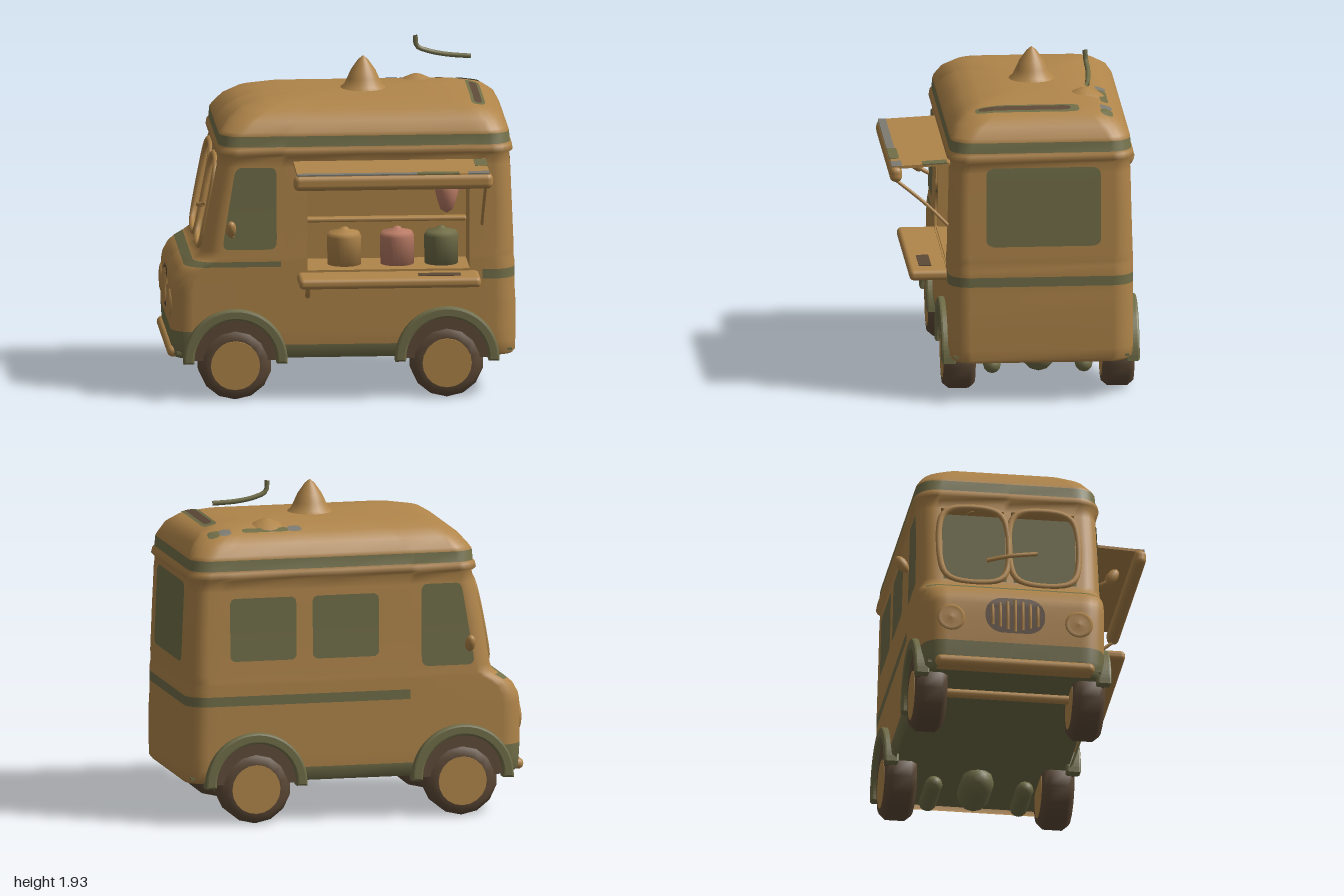
import * as THREE from 'three';
import { RoundedBoxGeometry } from 'three/addons/geometries/RoundedBoxGeometry.js';

const V = (x, y, z) => new THREE.Vector3(x, y, z);
const material = (name, color) => {
  const m = new THREE.MeshStandardMaterial({ color, side: THREE.DoubleSide });
  m.name = name;
  return m;
};
const MID = -0.105; // z of the truck's centre line

// Horizontal sections of the shell: y, x0, x1, z0, z1, corner radius
const SECTIONS = [
  [0.24, -0.95, 0.97, -0.60, 0.39, 0.11], [0.26, -0.965, 0.985, -0.625, 0.41, 0.12],
  [0.32, -0.965, 0.985, -0.63, 0.42, 0.12], [0.40, -0.97, 0.985, -0.63, 0.42, 0.12],
  [0.55, -0.97, 0.985, -0.63, 0.42, 0.12], [0.64, -0.968, 0.98, -0.63, 0.42, 0.12],
  [0.685, -0.96, 0.98, -0.63, 0.42, 0.12], [0.74, -0.93, 0.98, -0.63, 0.42, 0.12],
  [0.77, -0.895, 0.98, -0.63, 0.42, 0.12], [0.80, -0.845, 0.975, -0.63, 0.42, 0.12],
  [0.825, -0.81, 0.975, -0.63, 0.42, 0.12],
  [0.86, -0.795, 0.975, -0.627, 0.417, 0.11], [1.10, -0.755, 0.965, -0.62, 0.41, 0.1],
  [1.34, -0.705, 0.955, -0.615, 0.405, 0.1], [1.395, -0.69, 0.95, -0.61, 0.40, 0.1],
  [1.415, -0.715, 0.97, -0.635, 0.425, 0.12], [1.445, -0.71, 0.965, -0.63, 0.42, 0.12],
  [1.458, -0.70, 0.955, -0.62, 0.41, 0.12], [1.518, -0.695, 0.95, -0.615, 0.405, 0.12],
  [1.54, -0.68, 0.94, -0.61, 0.40, 0.13], [1.60, -0.63, 0.91, -0.575, 0.365, 0.14],
  [1.65, -0.55, 0.85, -0.51, 0.30, 0.14], [1.68, -0.42, 0.74, -0.42, 0.21, 0.12],
  [1.695, -0.15, 0.5, -0.25, 0.04, 0.08],
];

function ring([y, x0, x1, z0, z1, r]) {
  let xs = [-0.35, -0.31, -0.2, 0.1, 0.35, 0.72, 0.79];
  let zs = [-0.49, -0.13, -0.09, 0.27];
  if (y > 1.4) { // roof sections shrink their columns along with them
    xs = xs.map(x => THREE.MathUtils.mapLinear(x, -0.59, 0.85, x0 + r, x1 - r));
    zs = zs.map(z => THREE.MathUtils.mapLinear(z, -0.51, 0.30, z0 + r, z1 - r));
  }
  const sides = [xs.map(x => [x, z1]), [], [...xs].reverse().map(x => [x, z0]), zs.map(z => [x0, z])];
  const centres = [[x1 - r, z1 - r], [x1 - r, z0 + r], [x0 + r, z0 + r], [x0 + r, z1 - r]];
  const out = [];
  for (let c = 0; c < 4; c++) {
    out.push(...sides[c]);
    for (let k = 0; k <= 6; k++) {
      const a = Math.PI / 2 * (1 - c - k / 6);
      out.push([centres[c][0] + r * Math.cos(a), centres[c][1] + r * Math.sin(a)]);
    }
  }
  return out.map(([x, z]) => V(x, y, z));
}

// Which colour a cell of the shell takes: 0 body, 1 trim, -1 opening
function cellKind({ x, y, z }) {
  const within = (v, a, b) => v > a && v < b;
  if (z > 0.38 && within(x, -0.2, 0.72) && within(y, 0.74, 1.34)) return -1;
  if (x < -0.6 && within(y, 0.86, 1.34) && (within(z, -0.49, -0.13) || within(z, -0.09, 0.27))) return -1;
  if (within(y, 1.458, 1.518)) return 1;
  if (within(y, 0.685, 0.74) && (x > 0.79 || (z < -0.3 && x > -0.31))) return 1;
  if (within(y, 0.77, 0.80) && x < -0.35 && z > -0.6) return 1;
  if ((y < 0.32 && x < 0.35) || (y < 0.40 && x < -0.8)) return 1;
  return 0;
}

function shellGeometry() {
  const rings = SECTIONS.map(ring), n = rings[0].length, lists = [[], []];
  const points = rings.flat();
  for (let j = 0; j < rings.length - 1; j++) for (let i = 0; i < n; i++) {
    const k = (i + 1) % n, q = [j * n + i, j * n + k, (j + 1) * n + k, (j + 1) * n + i];
    const mid = q.reduce((s, p) => s.add(points[p]), V(0, 0, 0)).multiplyScalar(0.25);
    const kind = cellKind(mid);
    if (kind >= 0) lists[kind].push(q[0], q[1], q[2], q[0], q[2], q[3]);
  }
  const top = points.length, last = (rings.length - 1) * n;
  points.push(V(0.17, 1.697, MID));
  for (let i = 0; i < n; i++) lists[0].push(last + i, last + (i + 1) % n, top);
  const g = new THREE.BufferGeometry().setFromPoints(points);
  g.setIndex([...lists[0], ...lists[1]]);
  g.addGroup(0, lists[0].length, 0);
  g.addGroup(lists[0].length, lists[1].length, 1);
  g.computeVertexNormals();
  return g;
}

export function createModel() {
  const group = new THREE.Group();
  const tan = material('tan paint', 0xb0854a), olive = material('olive trim', 0x716e48);
  const brown = material('dark brown rubber', 0x5e4a37), pink = material('pink', 0xb87a64);
  const grey = material('grey', 0x7d7a70);

  const add = (name, geo, mat, x = 0, y = 0, z = 0) => {
    const m = new THREE.Mesh(geo, mat);
    m.name = name;
    m.position.set(x, y, z);
    group.add(m);
    return m;
  };
  // Box given by its extents
  const box = (name, mat, x0, x1, y0, y1, z0, z1, r = 0) => {
    const s = [x1 - x0, y1 - y0, z1 - z0];
    const g = r ? new RoundedBoxGeometry(...s, 3, r) : new THREE.BoxGeometry(...s);
    return add(name, g, mat, (x0 + x1) / 2, (y0 + y1) / 2, (z0 + z1) / 2);
  };
  const tube = (name, mat, pts, r, closed = false) => add(name, new THREE.TubeGeometry(
    new THREE.CatmullRomCurve3(pts.map(p => V(...p)), closed), closed ? 48 : 16, r, 8, closed), mat);
  const lathe = (name, mat, pts, x, y, z, sides = 24) => add(name,
    new THREE.LatheGeometry(pts.map(p => new THREE.Vector2(...p)), sides), mat, x, y, z);

  const body = add('body', shellGeometry(), [tan, olive]);

  // Rounded patch laid onto the shell, seen along direction n
  const ray = new THREE.Raycaster();
  const patch = (name, mat, n, c, w, h, r, lift = 0.006, warp = null) => {
    const up = n.y ? V(0, 0, -1) : V(0, 1, 0), side = up.clone().cross(n);
    const g = new THREE.PlaneGeometry(w, h, 16, 16), p = g.attributes.position;
    for (let i = 0; i < p.count; i++) {
      let u = p.getX(i), v = p.getY(i);
      const cu = Math.sign(u) * (w / 2 - r), cv = Math.sign(v) * (h / 2 - r);
      const du = u - cu, dv = v - cv, d = Math.hypot(du, dv);
      if (Math.abs(u) > w / 2 - r && Math.abs(v) > h / 2 - r && d > r) { u = cu + du * r / d; v = cv + dv * r / d; }
      const q = V(...c).addScaledVector(side, u).addScaledVector(up, v);
      if (warp) warp(q);
      ray.set(q.clone().addScaledVector(n, 3), n.clone().negate());
      const hit = ray.intersectObject(body)[0];
      if (hit) q.copy(hit.point);
      q.addScaledVector(n, lift);
      p.setXYZ(i, q.x, q.y, q.z);
    }
    g.computeVertexNormals();
    return add(name, g, mat);
  };
  const FRONT = V(0, 0, 1), BACK = V(0, 0, -1), NOSE = V(-1, 0, 0), TAIL = V(1, 0, 0), UP = V(0, 1, 0);

  // Windows; the door windows lean with the windscreen
  const lean = q => { q.x += (q.y - 0.87) * 0.16 * (-0.38 - q.x) / 0.3; };
  patch('doorWindow', olive, FRONT, [-0.53, 1.105, 0.4], 0.31, 0.47, 0.04, 0.006, lean);
  patch('doorWindow', olive, BACK, [-0.53, 1.105, -0.6], 0.31, 0.47, 0.04, 0.006, lean);
  for (const x of [0.545, 0.065]) patch('sideWindow', olive, BACK, [x, 1.12, -0.6], 0.385, 0.36, 0.03);
  patch('rearWindow', olive, TAIL, [0.95, 1.145, -0.115], 0.65, 0.455, 0.04);

  // Roof: pointed cap, vents, low hump and loose curved strip
  lathe('roofCap', tan, [[0.15, 1.68], [0.11, 1.71], [0.09, 1.75], [0.07, 1.795], [0.028, 1.855], [0, 1.878]], 0.15, 0, MID);
  patch('roofVent', olive, UP, [0.78, 1.67, -0.035], 0.08, 0.59, 0.03);
  patch('roofVentSlot', brown, UP, [0.78, 1.67, -0.02], 0.045, 0.52, 0.02, 0.009);
  patch('roofVent', grey, UP, [0.33, 1.66, -0.48], 0.08, 0.06, 0.025);
  patch('roofVent', olive, UP, [0.5, 1.66, -0.485], 0.27, 0.045, 0.02);
  patch('roofVent', grey, UP, [0.735, 1.66, -0.485], 0.07, 0.07, 0.025);
  patch('roofVent', olive, UP, [0.8, 1.66, -0.485], 0.07, 0.07, 0.025);
  lathe('roofHump', tan, [[0.13, -0.03], [0.09, 0.0], [0.03, 0.028], [0, 0.032]], 0.47, 1.68, -0.38, 16);
  tube('curvedStrip', olive, [[0.465, 1.93, -0.385], [0.475, 1.87, -0.39], [0.54, 1.84, -0.395],
    [0.64, 1.82, -0.39], [0.78, 1.81, -0.375]], 0.014);

  // Cab interior, pane frames and the bar across the middle post
  box('cabBack', olive, -0.52, -0.5, 0.7, 1.39, -0.59, 0.38);
  for (const z of [-0.575, 0.355]) box('cabLining', olive, -0.66, -0.5, 0.8, 1.34, z, z + 0.01);
  box('dashboard', olive, -0.76, -0.5, 0.80, 0.85, -0.53, 0.32);
  const paneX = y => -0.797 + (y - 0.86) * 0.19;
  for (const [z0, z1] of [[-0.49, -0.13], [-0.09, 0.27]]) {
    const frame = [];
    for (const [z, y] of [[z0, 0.92], [z0, 1.28], [z0 + 0.06, 1.34], [z1 - 0.06, 1.34],
      [z1, 1.28], [z1, 0.92], [z1 - 0.06, 0.86], [z0 + 0.06, 0.86]]) frame.push([paneX(y), y, z]);
    tube('paneFrame', tan, frame, 0.018, true);
  }
  tube('crossBar', tan, [[-0.77, 1.0, -0.24], [-0.785, 1.03, MID], [-0.77, 1.06, 0.05]], 0.013);

  // Serving hatch: recess, ledge, jars and hanging balloon
  box('hatchBack', tan, -0.22, 0.74, 0.72, 1.38, 0.06, 0.08);
  box('hatchFloor', tan, -0.22, 0.74, 0.72, 0.745, 0.06, 0.41);
  box('hatchCeiling', tan, -0.22, 0.74, 1.34, 1.36, 0.06, 0.4);
  for (const x of [-0.22, 0.72]) box('hatchWall', tan, x, x + 0.02, 0.72, 1.38, 0.06, 0.4);
  box('hatchLedge', tan, -0.2, 0.72, 0.965, 0.99, 0.08, 0.14, 0.01);
  [[0.02, tan], [0.32, pink], [0.57, olive]].forEach(([x, mat]) =>
    lathe('jar', mat, [[0, 0], [0.095, 0], [0.097, 0.16], [0.085, 0.185], [0.03, 0.195], [0.02, 0.21], [0, 0.215]], x, 0.745, 0.23));
  lathe('balloon', pink, [[0, 0], [0.035, 0.02], [0.055, 0.08], [0.068, 0.14], [0.05, 0.19], [0, 0.21]], 0.6, 1.035, 0.25);
  box('pinkNote', pink, 0.64, 0.71, 1.13, 1.25, 0.081, 0.088);

  // Counter shelf and its bracket
  box('shelf', tan, -0.26, 0.77, 0.675, 0.735, 0.38, 0.63, 0.025);
  box('shelfMat', brown, 0.42, 0.66, 0.733, 0.74, 0.5, 0.57);
  tube('shelfBracket', tan, [[-0.2, 0.69, 0.52], [-0.2, 0.64, 0.48], [-0.2, 0.6, 0.42]], 0.016);

  // Awning sheet, front roll and strut
  const sheet = box('awning', tan, -0.28, 0.81, 1.35, 1.366, 0.38, 0.73);
  sheet.rotation.x = 0.05;
  box('awningRoll', tan, -0.3, 0.83, 1.265, 1.355, 0.675, 0.745, 0.033);
  box('awningEdge', grey, -0.28, 0.4, 1.352, 1.36, 0.69, 0.735);
  box('awningEdge', olive, 0.4, 0.64, 1.352, 1.36, 0.68, 0.735);
  box('awningEdge', grey, 0.69, 0.81, 1.352, 1.36, 0.67, 0.735);
  const mount = box('awningMount', olive, 0.74, 0.812, 1.364, 1.372, 0.42, 0.56);
  mount.rotation.x = 0.05;
  tube('awningStrut', tan, [[0.79, 1.29, 0.73], [0.79, 1.14, 0.55], [0.79, 1.0, 0.41]], 0.01);

  // Nose: grille, headlights, bumper
  patch('grille', brown, NOSE, [-0.95, 0.57, MID], 0.34, 0.22, 0.1);
  for (let i = -3; i <= 3; i++) {
    const h = 0.1 - Math.abs(i) * 0.012, z = MID + i * 0.043;
    tube('grilleSlat', tan, [[-0.974, 0.57 - h, z], [-0.98, 0.57, z], [-0.97, 0.57 + h, z]], 0.009);
  }
  for (const s of [-1, 1]) {
    const lamp = lathe('headlight', tan, [[0.08, -0.01], [0.08, 0.008], [0.062, 0.014], [0.055, 0.006], [0, 0.014]], -0.965, 0.54, MID + s * 0.365);
    lamp.rotation.z = Math.PI / 2;
  }
  box('bumper', tan, -0.99, -0.88, 0.24, 0.305, -0.56, 0.35, 0.032);

  // Underbody
  box('floor', olive, -0.94, 0.96, 0.265, 0.28, -0.6, 0.39);
  [[0.16, 0.05], [MID, 0.095], [-0.36, 0.05]].forEach(([z, r]) => {
    const tank = add('underTank', new THREE.CapsuleGeometry(r, 0.34 - 2 * r, 4, 12), olive, 0.6, 0.12 + r, z);
    tank.rotation.z = Math.PI / 2;
  });

  // Wheels, wells, fenders and mirrors on both sides
  const well = new THREE.ExtrudeGeometry(new THREE.Shape().absarc(0, 0, 0.25, 0, Math.PI), { depth: 0.02, bevelEnabled: false });
  const arch = new THREE.Shape().absarc(0, 0, 0.283, -0.02, Math.PI + 0.02);
  arch.absarc(0, 0, 0.245, Math.PI + 0.02, -0.02, true);
  const fender = new THREE.ExtrudeGeometry(arch, { depth: 0.06, bevelSize: 0.012, bevelThickness: 0.012, bevelSegments: 2, curveSegments: 20 });
  const tyre = [[0.13, -0.09], [0.18, -0.09], [0.21, -0.055], [0.21, 0.055], [0.18, 0.09], [0.135, 0.09]];
  for (const s of [-1, 1]) {
    const zOut = d => MID + s * d;
    for (const x of [-0.61, 0.59]) {
      const w = lathe('tyre', brown, tyre, x, 0.215, zOut(0.45), 14);
      w.rotation.x = Math.PI / 2;
      const hub = add('hub', new THREE.CylinderGeometry(0.14, 0.14, 0.185, 20), tan, x, 0.205, zOut(0.45));
      hub.rotation.x = Math.PI / 2;
      add('wheelWell', well, brown, x, 0.235, s > 0 ? zOut(0.512) : zOut(0.532));
      add('fender', fender, olive, x, 0.235, s > 0 ? zOut(0.49) : zOut(0.55));
    }
    const mirror = add('mirror', new THREE.SphereGeometry(1, 16, 12), tan, -0.64, 1.005, zOut(0.6));
    mirror.scale.set(0.03, 0.055, 0.032);
    mirror.rotation.x = s * 0.6;
  }
  tube('mirrorArm', tan, [[-0.62, 0.94, 0.4], [-0.64, 0.97, 0.46], [-0.64, 1.0, 0.49]], 0.012);
  const axle = add('axle', new THREE.CylinderGeometry(0.025, 0.025, 0.85, 10), tan, -0.61, 0.235, MID);
  axle.rotation.x = Math.PI / 2;
  return group;
}
